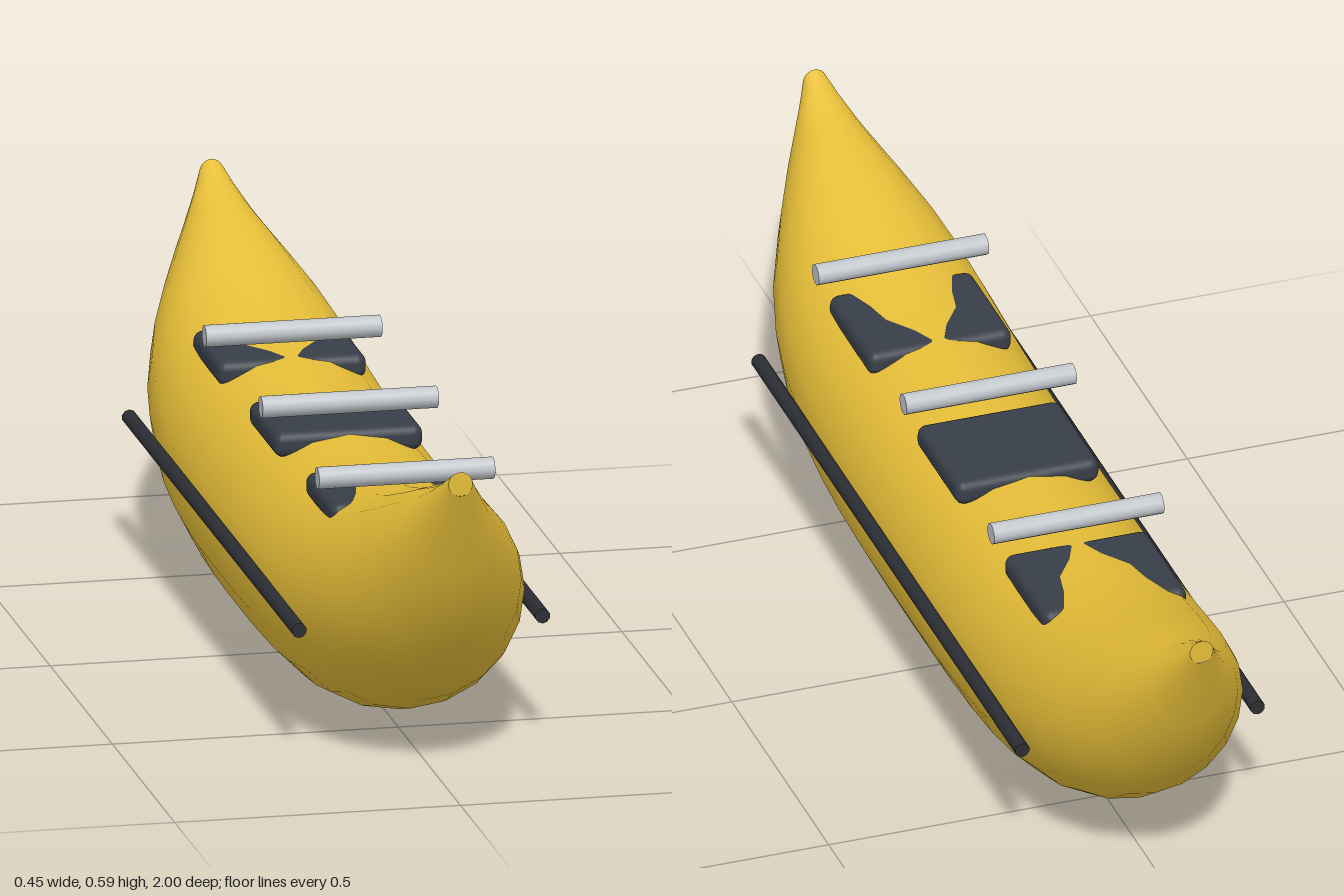
import * as THREE from 'three';
import { RoundedBoxGeometry } from 'three/addons/geometries/RoundedBoxGeometry.js';

const SIDES = 20;

// Hull stations from midship to tip: z, half width, bottom y, top y
const STATIONS = [
  [0, 0.21, 0.003, 0.413], [0.1, 0.21, 0.003, 0.414], [0.2, 0.21, 0.005, 0.416],
  [0.3, 0.209, 0.009, 0.42], [0.4, 0.207, 0.018, 0.427], [0.5, 0.203, 0.035, 0.438],
  [0.6, 0.195, 0.064, 0.457], [0.68, 0.182, 0.1, 0.478], [0.76, 0.159, 0.155, 0.503],
  [0.84, 0.122, 0.235, 0.53], [0.9, 0.088, 0.33, 0.547], [0.93, 0.068, 0.39, 0.558],
  [0.97, 0.04, 0.482, 0.578], [1, 0.021, 0.552, 0.595],
];

// Loft of elliptical rings, symmetric fore and aft
function hullGeometry() {
  const rings = [
    ...STATIONS.slice(1).reverse().map(([z, ...rest]) => [-z, ...rest]),
    ...STATIONS,
  ];
  const positions = [];
  const index = [];
  rings.forEach(([z, halfWidth, bottom, top], r) => {
    for (let i = 0; i < SIDES; i++) {
      const a = (i / SIDES) * Math.PI * 2;
      positions.push(
        Math.sin(a) * halfWidth,
        (top + bottom) / 2 - (Math.cos(a) * (top - bottom)) / 2,
        z,
      );
      if (r === 0) continue;
      const j = (i + 1) % SIDES;
      const p = (r - 1) * SIDES;
      const q = r * SIDES;
      index.push(p + i, p + j, q + j, p + i, q + j, q + i);
    }
  });
  const geometry = new THREE.BufferGeometry();
  geometry.setAttribute('position', new THREE.Float32BufferAttribute(positions, 3));
  geometry.setIndex(index);
  geometry.computeVertexNormals();
  return geometry;
}

export function createModel() {
  const material = (name, color) => {
    const m = new THREE.MeshStandardMaterial({ color });
    m.name = name;
    return m;
  };
  const yellow = material('hull yellow', 0xe6be38);
  const charcoal = material('seat charcoal', 0x383e48);
  const black = material('rail black', 0x2b2e33);
  const silver = material('bar silver', 0xc2c7cc);

  const group = new THREE.Group();
  group.name = 'canoe';
  const add = (name, geometry, mat, x = 0, y = 0, z = 0) => {
    const mesh = new THREE.Mesh(geometry, mat);
    mesh.name = name;
    mesh.position.set(x, y, z);
    group.add(mesh);
    return mesh;
  };

  // Hull and the small flat caps at both tips
  add('hull', hullGeometry(), yellow);
  const cap = new THREE.CircleGeometry(0.0213, SIDES);
  add('bowCap', cap, yellow, 0, 0.5735, 1);
  add('sternCap', cap, yellow, 0, 0.5735, -1).rotation.y = Math.PI;

  // Seats sunk into the deck, each with a cross bar above its front edge
  const seat = new RoundedBoxGeometry(0.26, 0.045, 0.22, 3, 0.017);
  const bar = new THREE.CylinderGeometry(0.019, 0.019, 0.308, 10);
  bar.rotateZ(Math.PI / 2);
  ['front', 'middle', 'rear'].forEach((place, i) => {
    const z = 0.453 - i * 0.453;
    add(`${place}Seat`, seat, charcoal, 0, 0.4, z);
    add(`${place}CrossBar`, bar, silver, 0, 0.47, z + 0.102);
  });

  // Rub rails along both flanks
  const rail = new THREE.CylinderGeometry(0.0132, 0.0132, 1.364, 10);
  rail.rotateX(Math.PI / 2);
  add('leftRail', rail, black, 0.213, 0.238, 0);
  add('rightRail', rail, black, -0.213, 0.238, 0);

  return group;
}
